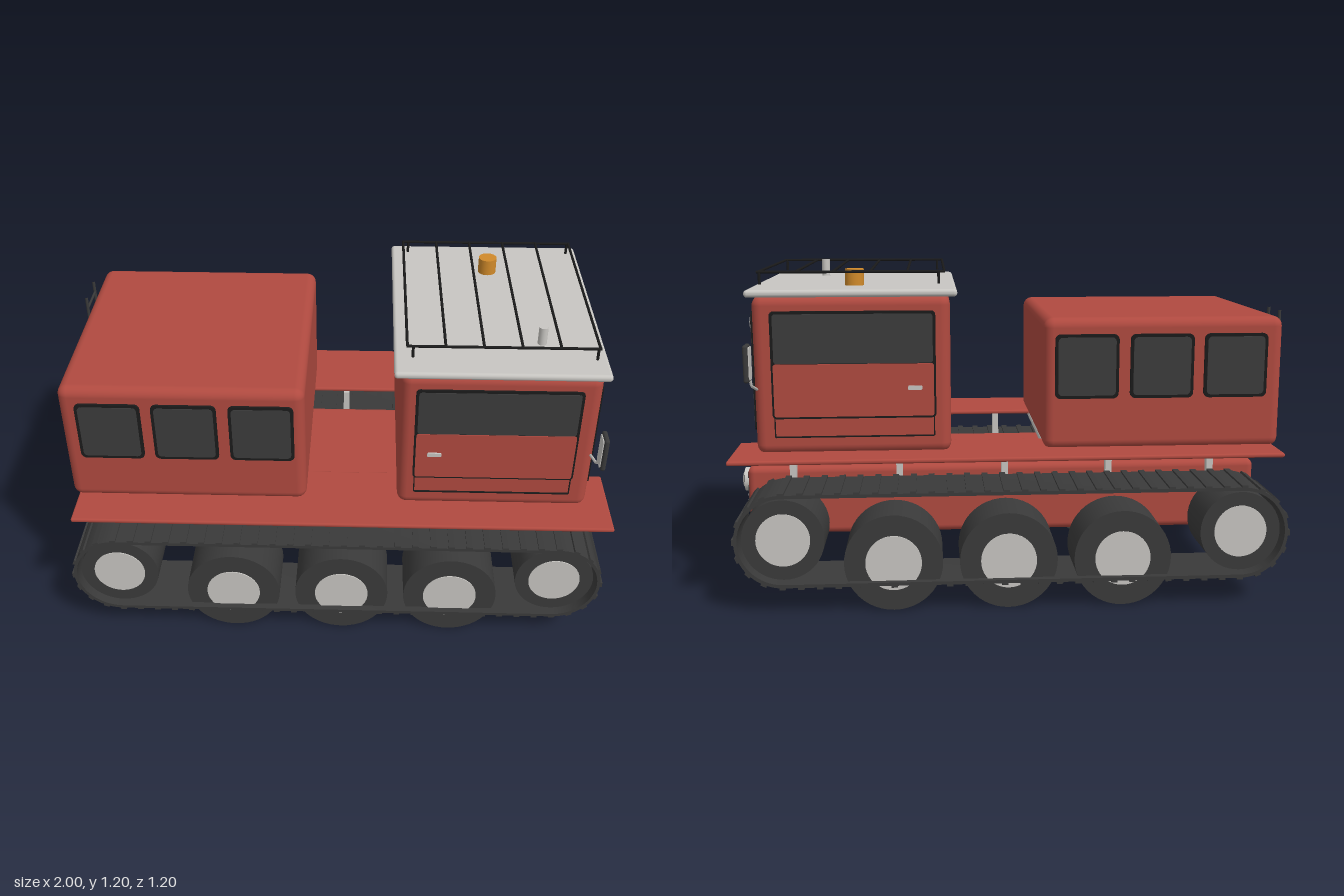
import * as THREE from 'three';
import { toCreasedNormals } from 'three/addons/utils/BufferGeometryUtils.js';
import { RoundedBoxGeometry } from 'three/addons/geometries/RoundedBoxGeometry.js';

const material = (name, color) => {
  const m = new THREE.MeshStandardMaterial({ color });
  m.name = name;
  return m;
};

export function createModel() {
  const red = material('red paint', 0xb04a40);
  const silver = material('silver', 0xc8c6c2);
  const rubber = material('dark rubber', 0x3a3a3a);
  const glass = material('dark glass', 0x3c3c3c);
  const black = material('black trim', 0x1b1b1b);
  const amber = material('amber', 0xd08a2a);
  const root = new THREE.Group();
  root.name = 'trackedCarrier';

  const add = (name, geometry, mat, x = 0, y = 0, z = 0, parent = root) => {
    const mesh = new THREE.Mesh(geometry, mat);
    mesh.name = name;
    mesh.position.set(x, y, z);
    parent.add(mesh);
    return mesh;
  };
  // Boxes given by their limits on each axis
  const box = (name, mat, [x0, x1], [y0, y1], [z0, z1], r = 0) => {
    const s = [x1 - x0, y1 - y0, z1 - z0];
    const g = r ? new RoundedBoxGeometry(...s, 4, r) : new THREE.BoxGeometry(...s);
    return add(name, g, mat, (x0 + x1) / 2, (y0 + y1) / 2, (z0 + z1) / 2);
  };
  // Cylinder pointing along the chosen axis
  const cyl = (name, mat, r, h, axis, x, y, z, sides = 40, parent = root) => {
    const g = new THREE.CylinderGeometry(r, r, h, sides);
    if (axis === 'x') g.rotateZ(-Math.PI / 2);
    if (axis === 'z') g.rotateX(Math.PI / 2);
    return add(name, g, mat, x, y, z, parent);
  };
  const rod = (name, mat, r, ...points) => {
    const path = new THREE.CurvePath();
    const p = points.map((q) => new THREE.Vector3(...q));
    for (let i = 1; i < p.length; i++) path.add(new THREE.LineCurve3(p[i - 1], p[i]));
    return add(name, new THREE.TubeGeometry(path, (p.length - 1) * 4, r, 8), mat);
  };
  // Rounded plate centred on its thickness, facing z, or x when turned
  const plate = (name, mat, [a0, a1], [y0, y1], r, t, at, facesX = false) => {
    const w = (a1 - a0) / 2, h = (y1 - y0) / 2, q = Math.PI / 2;
    const s = new THREE.Shape();
    s.absarc(w - r, h - r, r, 0, q);
    s.absarc(-w + r, h - r, r, q, 2 * q);
    s.absarc(-w + r, -h + r, r, 2 * q, 3 * q);
    s.absarc(w - r, -h + r, r, 3 * q, 4 * q);
    const g = new THREE.ExtrudeGeometry(s, { depth: t, bevelEnabled: false, curveSegments: 5 });
    g.translate(0, 0, -t / 2);
    if (facesX) g.rotateY(Math.PI / 2);
    const a = (a0 + a1) / 2, y = (y0 + y1) / 2;
    return facesX ? add(name, g, mat, at, y, a) : add(name, g, mat, a, y, at);
  };

  // Hull, body and cab
  box('hull', red, [-0.93, 0.97], [0.21, 0.47], [-0.28, 0.28], 0.025);
  box('rearBody', red, [-0.97, -0.11], [0.555, 1.03], [-0.445, 0.445], 0.035);
  box('cab', red, [0.22, 0.905], [0.555, 1.115], [-0.455, 0.455], 0.035);
  box('roof', silver, [0.195, 0.925], [1.11, 1.136], [-0.473, 0.473], 0.012);
  for (const x of [-0.665, -0.225])
    box('crossMember', silver, [x - 0.105, x + 0.105], [0.527, 0.557], [-0.385, 0.385], 0.013);

  // Track belt: a hollow stadium
  const R = 0.168, C = 0.815, beltY = 0.267;
  const stadium = (r, p) => {
    p.absarc(C, 0, r, -Math.PI / 2, Math.PI / 2);
    p.absarc(-C, 0, r, Math.PI / 2, Math.PI * 1.5);
    p.closePath();
    return p;
  };
  const beltShape = stadium(R, new THREE.Shape());
  beltShape.holes.push(stadium(R - 0.012, new THREE.Path()));
  const beltGeometry = toCreasedNormals(
    new THREE.ExtrudeGeometry(beltShape, { depth: 0.255, bevelEnabled: false, curveSegments: 24 }), 0.5);
  beltGeometry.translate(0, 0, -0.1275);
  const cleatGeometry = new THREE.BoxGeometry(0.022, 0.014, 0.255);

  for (const s of [1, -1]) {
    const span = (a, b) => (s > 0 ? [a, b] : [-b, -a]);
    box('fender', red, [-0.95, 0.99], [0.548, 0.564], span(0.28, 0.585), 0.007);
    for (const x of [-0.755, -0.37, 0.02, 0.41, 0.8])
      box('fenderPost', silver, [x - 0.012, x + 0.012], [0.42, 0.55], span(0.27, 0.305));
    box('underStep', black, [0.43, 0.64], [0.522, 0.532], span(0.09, 0.27));

    // Tracks and wheels
    const track = new THREE.Group();
    track.name = 'track';
    track.position.set(0, beltY, s * 0.4325);
    root.add(track);
    add('belt', beltGeometry, rubber, 0, 0, 0, track);
    const straight = 2 * C, arc = Math.PI * R, total = 2 * (straight + arc), count = 66;
    for (let i = 0; i < count; i++) {
      const d = (i / count) * total, half = total / 2;
      const turn = d >= half ? Math.PI : 0, e = d % half;
      const angle = e < straight ? 0 : (e - straight) / R;
      const p = new THREE.Vector3(C - Math.min(e, straight), R, 0);
      if (angle) p.set(-C - R * Math.sin(angle), R * Math.cos(angle), 0);
      p.applyAxisAngle(new THREE.Vector3(0, 0, 1), turn);
      add('cleat', cleatGeometry, rubber, p.x, p.y, 0, track).rotation.z = angle + turn;
    }
    const wheels = [[-C, beltY, 0.145, 0.095], [-0.39, 0.175, 0.175, 0.1],
      [0.02, 0.175, 0.175, 0.1], [0.43, 0.175, 0.175, 0.1], [C, beltY, 0.145, 0.095]];
    for (const [x, y, r, hub] of wheels) {
      cyl('wheel', rubber, r, 0.205, 'z', x, y, s * 0.4325, 48);
      cyl('hub', silver, hub, 0.212, 'z', x, y, s * 0.4325, 40);
    }

    // Rear body side windows
    for (const x of [-0.798, -0.532, -0.263]) {
      plate('windowFrame', black, [x - 0.114, x + 0.114], [0.743, 0.973], 0.02, 0.012, s * 0.447);
      plate('window', glass, [x - 0.103, x + 0.103], [0.754, 0.962], 0.015, 0.016, s * 0.447);
    }

    // Cab door
    plate('doorFrame', black, [0.272, 0.843], [0.685, 1.062], 0.015, 0.012, s * 0.455);
    plate('doorWindow', glass, [0.282, 0.833], [0.88, 1.052], 0.01, 0.016, s * 0.455);
    plate('doorPanel', red, [0.279, 0.836], [0.692, 0.878], 0.008, 0.018, s * 0.455);
    plate('doorSill', black, [0.279, 0.836], [0.617, 0.622], 0.002, 0.008, s * 0.455);
    for (const x of [0.279, 0.836])
      plate('doorEdge', black, [x - 0.002, x + 0.002], [0.62, 0.69], 0.001, 0.008, s * 0.455);
    plate('doorHandle', silver, [0.32, 0.37], [0.785, 0.8], 0.005, 0.03, s * 0.455);

    // Mirrors
    rod('mirrorArm', silver, 0.005, [0.895, 0.79, s * 0.45], [0.9, 0.815, s * 0.53], [0.905, 0.87, s * 0.55]);
    box('mirror', rubber, [0.897, 0.915], [0.835, 0.963], span(0.535, 0.6), 0.008);
    plate('mirrorGlass', silver, span(0.542, 0.593), [0.843, 0.955], 0.008, 0.004, 0.896, true);

    // Lamps
    for (const [name, x, y, z, r] of [['roofLamp', 0.91, 1.008, 0.302, 0.037], ['headlight', 0.975, 0.405, 0.195, 0.044]]) {
      cyl(name + 'Rim', silver, r, 0.03, 'x', x, y, s * z);
      const lens = new THREE.SphereGeometry(r * 0.8, 24, 8, 0, Math.PI * 2, 0, Math.PI / 2);
      lens.scale(1, 0.3, 1).rotateZ(-Math.PI / 2);
      add(name + 'Lens', lens, silver, x + 0.015, y, s * z);
      const ring = new THREE.TorusGeometry(r * 0.84, 0.002, 6, 32).rotateY(Math.PI / 2);
      add(name + 'Ring', ring, black, x + 0.015, y, s * z);
    }
  }

  // Windscreen and wipers
  plate('windscreenFrame', black, [-0.416, 0.416], [0.638, 1.056], 0.015, 0.014, 0.905, true);
  plate('windscreen', glass, [-0.408, 0.408], [0.646, 1.048], 0.012, 0.018, 0.905, true);
  for (const z of [0.347, -0.085])
    rod('wiper', black, 0.003, [0.915, 0.835, z], [0.915, 0.66, z - 0.129]);

  // Grille
  plate('grille', rubber, [-0.237, 0.237], [0.287, 0.44], 0.008, 0.014, 0.969, true);
  for (let i = 0; i < 6; i++)
    box('grilleBar', silver, [0.97, 0.982], [0.302 + i * 0.0215, 0.307 + i * 0.0215], [-0.215, 0.215]);

  // Rear window, ladder and tail lamps
  plate('rearWindowFrame', black, [-0.17, 0.17], [0.78, 0.965], 0.02, 0.012, -0.972, true);
  plate('rearWindow', glass, [-0.16, 0.16], [0.79, 0.955], 0.015, 0.016, -0.972, true);
  for (const z of [-0.31, -0.18])
    rod('ladderRail', rubber, 0.006, [-0.994, 0.545, z], [-0.994, 1.04, z]);
  for (let i = 0; i < 7; i++)
    rod('ladderRung', rubber, 0.005, [-0.994, 0.59 + i * 0.067, -0.31], [-0.994, 0.59 + i * 0.067, -0.18]);

  // Roof rack, beacon and vent
  for (let i = 0; i < 6; i++) {
    const x = 0.238 + i * 0.1295;
    rod('rackBar', black, 0.005, [x, 1.192, -0.392], [x, 1.192, 0.392]);
  }
  for (const z of [-0.39, 0.39]) {
    rod('rackRail', black, 0.005, [0.235, 1.192, z], [0.89, 1.192, z]);
    for (const x of [0.258, 0.88]) rod('rackLeg', black, 0.005, [x, 1.15, z], [x, 1.192, z]);
  }
  cyl('beacon', amber, 0.034, 0.06, 'y', 0.56, 1.165, -0.26, 28);
  cyl('vent', silver, 0.016, 0.07, 'y', 0.71, 1.167, 0.267, 20);
  return root;
}
